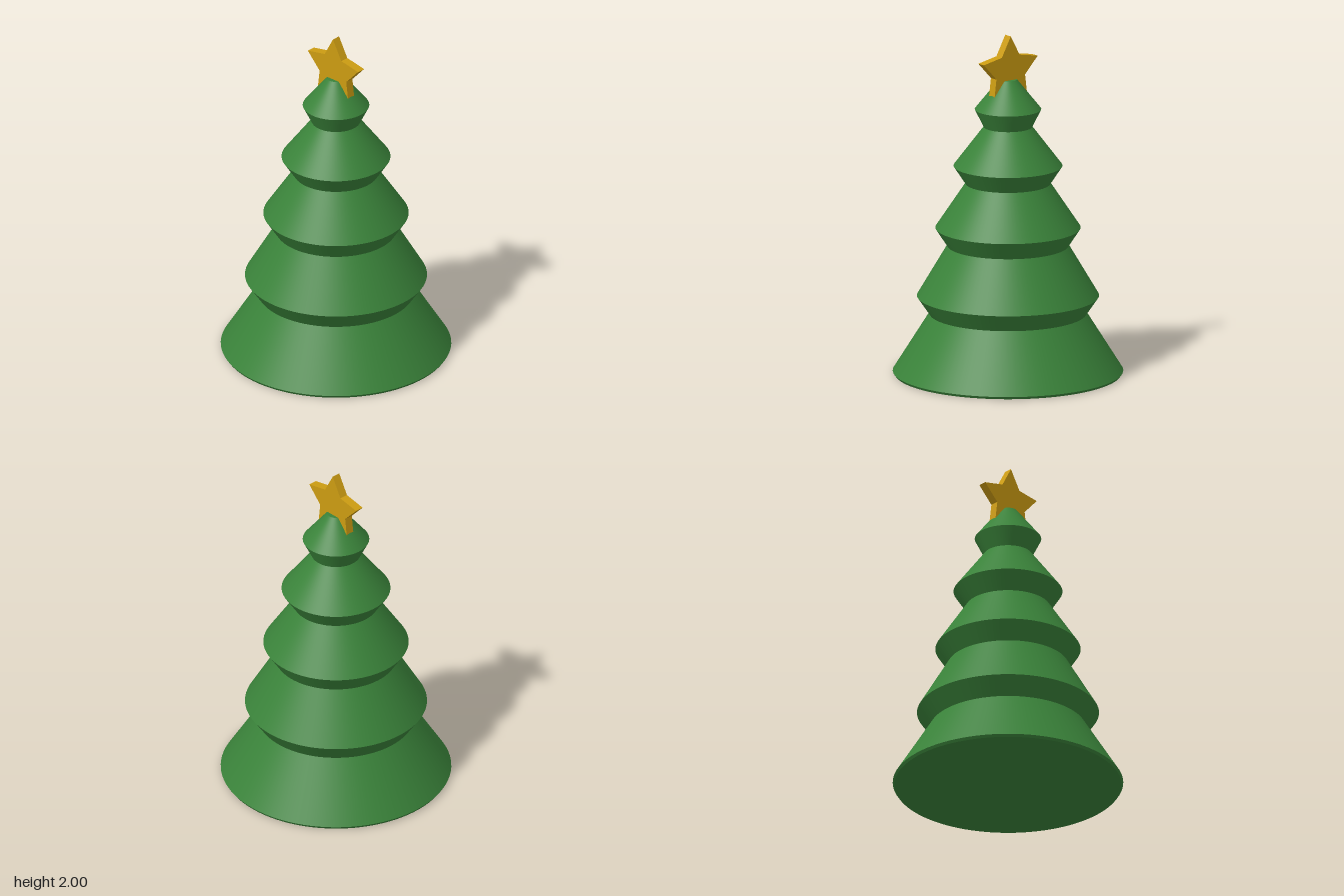
import * as THREE from 'three';
import { mergeGeometries } from 'three/addons/utils/BufferGeometryUtils.js';

const green = new THREE.MeshStandardMaterial({ name: 'pine green', color: 0x3a833a });
const gold = new THREE.MeshStandardMaterial({ name: 'star gold', color: 0xcc9c12 });

// Revolve each profile segment on its own so rims stay sharp and sides smooth
function turned(points) {
  const bands = [];
  for (let i = 0; i < points.length - 1; i++) {
    const pair = [points[i], points[i + 1]].map(([r, y]) => new THREE.Vector2(r, y));
    bands.push(new THREE.LatheGeometry(pair, 96));
  }
  return mergeGeometries(bands);
}

function starShape(outer, inner) {
  const shape = new THREE.Shape();
  for (let i = 0; i < 10; i++) {
    const a = Math.PI / 2 + (i * Math.PI) / 5;
    const r = i % 2 ? inner : outer;
    shape[i ? 'lineTo' : 'moveTo'](r * Math.cos(a), r * Math.sin(a));
  }
  shape.closePath();
  return shape;
}

export function createModel() {
  const model = new THREE.Group();
  model.name = 'christmasTree';

  // Five stacked tiers with undercut skirts, closed top and bottom
  const foliage = new THREE.Mesh(turned([
    [0, 0], [0.655, 0], [0.665, 0.015],
    [0.453, 0.355], [0.525, 0.46],
    [0.35, 0.757], [0.419, 0.863],
    [0.245, 1.125], [0.314, 1.23],
    [0.14, 1.46], [0.192, 1.565],
    [0.052, 1.74], [0, 1.74],
  ]), green);
  foliage.name = 'foliage';
  model.add(foliage);

  // Five-pointed star with its lower points sunk into the tip
  const depth = 0.052;
  const starGeometry = new THREE.ExtrudeGeometry(starShape(0.207, 0.11), { depth, bevelEnabled: false });
  starGeometry.translate(0, 1.793, -depth / 2);
  const star = new THREE.Mesh(starGeometry, gold);
  star.name = 'star';
  model.add(star);

  return model;
}
